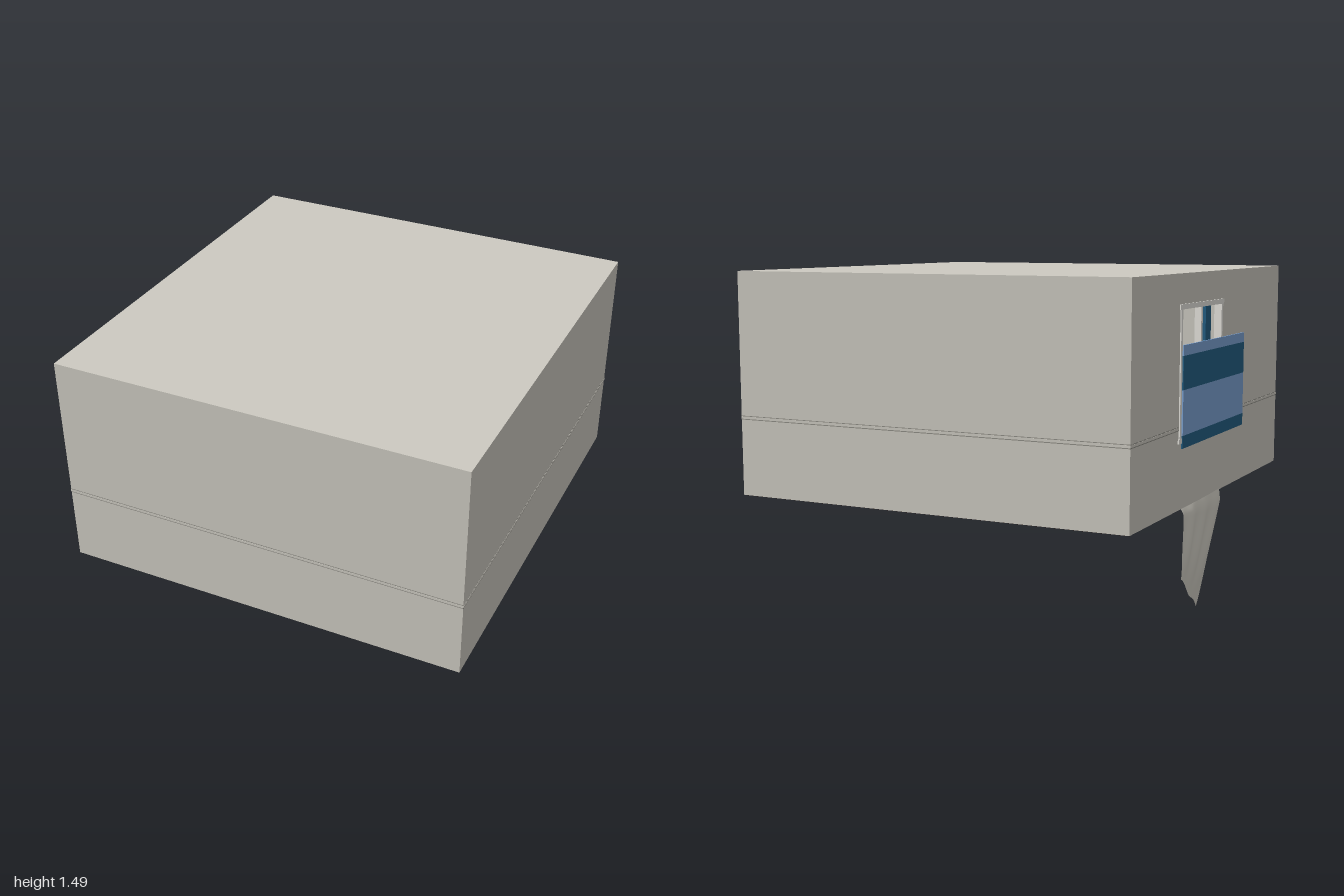
import * as THREE from 'three';

const paint = (name, hex, side = THREE.FrontSide) => {
  const m = new THREE.MeshStandardMaterial({ color: hex, side });
  m.name = name;
  return m;
};

export function createModel() {
  const room = new THREE.Group();
  room.name = 'room';
  const wall = paint('plaster', 0xcdcac1);
  const groove = paint('groove grey', 0x8f8d86);
  const white = paint('frame white', 0xe8e6e0);
  const floorDark = paint('dark floor', 0x33231c);
  const rugRed = paint('rug red', 0x4e2226);
  const rugBrown = paint('rug border', 0x45342a);
  const lightBlue = paint('light blue', 0x7da4d5);
  const darkBlue = paint('dark blue', 0x235f83);
  const wood = paint('wood', 0x6b4630);
  const linen = paint('linen', 0xd3d0c6, THREE.DoubleSide);

  // Box given by its low and high corners
  const box = (name, mat, [x0, y0, z0], [x1, y1, z1], parent = room) => {
    const mesh = new THREE.Mesh(new THREE.BoxGeometry(x1 - x0, y1 - y0, z1 - z0), mat);
    mesh.position.set((x0 + x1) / 2, (y0 + y1) / 2, (z0 + z1) / 2);
    mesh.name = name;
    parent.add(mesh);
    return mesh;
  };
  const group = (name) => {
    const g = new THREE.Group();
    g.name = name;
    room.add(g);
    return g;
  };

  const X0 = -0.875, X1 = 1, Y0 = 0.48, Y1 = 1.485, Z = 0.98, T = 0.01;

  // Shell: floor, ceiling and three plain walls
  box('floor', floorDark, [X0 + 0.002, Y0, -Z + 0.002], [X1 - 0.002, Y0 + T, Z - 0.002]);
  box('ceiling', wall, [X0, Y1 - T, -Z], [X1, Y1, Z]);
  box('frontWall', wall, [X0, Y0 + 0.001, Z - T], [X1, Y1 - T, Z]);
  box('backWall', wall, [X0, Y0 + 0.001, -Z], [X1, Y1 - T, -Z + T]);
  box('leftWall', wall, [X1 - T, Y0 + 0.001, -Z + T], [X1, Y1 - T, Z - T]);

  // Window wall with its opening, drawn in z and y
  const wz0 = -0.43, wz1 = 0.08, wy0 = 0.79, wy1 = 1.335;
  const face = new THREE.Shape();
  face.moveTo(-Z + T, Y0 + 0.001).lineTo(Z - T, Y0 + 0.001).lineTo(Z - T, Y1 - T).lineTo(-Z + T, Y1 - T).closePath();
  const hole = new THREE.Path();
  hole.moveTo(wz0, wy0).lineTo(wz0, wy1).lineTo(wz1, wy1).lineTo(wz1, wy0).closePath();
  face.holes.push(hole);
  const windowWall = new THREE.Mesh(
    new THREE.ExtrudeGeometry(face, { depth: T, bevelEnabled: false }).rotateY(-Math.PI / 2), wall);
  windowWall.position.x = X0 + T;
  windowWall.name = 'windowWall';
  room.add(windowWall);

  // Narrow rail around the walls, with a thin dark line above and below
  const rail = group('wallRail');
  for (const [y, h, mat, out] of [[0.824, 0.004, groove, 0.001], [0.828, 0.011, wall, 0.002], [0.839, 0.003, groove, 0.001]]) {
    for (const s of [-1, 1]) {
      box('railAcross', mat, [X0, y, s * Z - out], [X1, y + h, s * Z + out], rail);
    }
    box('railLeft', mat, [X1 - out, y, -Z], [X1 + out, y + h, Z], rail);
    box('railRight', mat, [X0 - out, y, -Z], [X0 + out, y + h, wz0], rail);
    box('railRight', mat, [X0 - out, y, wz1], [X0 + out, y + h, Z], rail);
  }

  // Window frame and bars
  const frame = group('windowFrame');
  const fx0 = X0 - 0.006, fx1 = X0 + 0.03;
  box('frameTop', white, [fx0, wy1, wz0 - 0.025], [fx1, wy1 + 0.022, wz1 + 0.025], frame);
  box('frameSill', white, [fx0, wy0 - 0.022, wz0 - 0.025], [fx1, wy0, wz1 + 0.025], frame);
  for (const z of [wz0 - 0.015, wz1 - 0.005]) {
    box('frameSide', white, [fx0 + 0.001, wy0, z], [fx1, wy1, z + 0.02], frame);
  }
  box('frameBar', white, [X0, wy0, -0.185], [fx1, wy1, -0.165], frame);

  // Striped panel across the lower window
  const panel = group('stripedPanel');
  const stripes = [[0.745, 0.80, darkBlue], [0.80, 0.995, lightBlue], [0.995, 1.14, darkBlue], [1.14, 1.185, lightBlue]];
  for (const [y0, y1, mat] of stripes) {
    box('stripe', mat, [X0 - 0.009, y0, -0.42], [X0 - 0.002, y1, 0.40], panel);
  }

  // Rug, showing in two pieces through the floor
  const rugPiece = (name, mat, points, y) => {
    const shape = new THREE.Shape(points.map(([x, z]) => new THREE.Vector2(x, z)));
    const mesh = new THREE.Mesh(new THREE.ShapeGeometry(shape).rotateX(Math.PI / 2), mat);
    mesh.position.y = y;
    mesh.name = name;
    room.add(mesh);
  };
  rugPiece('rugBorder', rugBrown, [[0.56, -0.70], [0.12, -0.70], [0.30, -0.38], [0.56, -0.30]], Y0 - 0.001);
  rugPiece('rugCentre', rugRed, [[0.48, -0.62], [0.12, -0.62], [0.28, -0.40], [0.48, -0.34]], Y0 - 0.002);
  rugPiece('rugBorder', rugBrown, [[-0.48, 0.08], [0.14, 0.08], [-0.12, -0.20], [-0.48, -0.40]], Y0 - 0.001);
  rugPiece('rugCentre', rugRed, [[-0.40, 0.0], [0.06, 0.0], [-0.12, -0.17], [-0.40, -0.33]], Y0 - 0.002);
  box('rugInside', rugRed, [-0.48, Y0 + T, -0.70], [0.56, Y0 + T + 0.005, 0.08]);

  // Bed, wardrobe and curtain inside
  const bed = group('bed');
  box('bedBase', wood, [0.1, 0.52, 0.3], [0.95, 0.62, 0.9], bed);
  box('mattress', linen, [0.12, 0.62, 0.32], [0.93, 0.7, 0.88], bed);
  box('blanket', darkBlue, [0.1, 0.64, 0.3], [0.65, 0.715, 0.9], bed);
  box('headboard', wood, [0.95, 0.5, 0.3], [0.98, 0.95, 0.9], bed);
  box('wardrobe', wood, [0.65, 0.5, -0.6], [0.98, 1.25, -0.05]);
  box('curtain', darkBlue, [X0 + 0.04, 0.8, -0.01], [X0 + 0.055, 1.34, 0.06]);

  // Hanging cloth: corners blended across a grid, with soft folds
  const cloth = new THREE.PlaneGeometry(1, 1, 28, 20);
  const corner = (x, y, z) => new THREE.Vector3(x, y, z);
  const [a, b, c, d] = [corner(-0.885, 0.485, -0.40), corner(-0.89, 0.485, 0.10), corner(-0.93, 0.21, -0.54), corner(-0.875, 0.0, -0.19)];
  const p = cloth.attributes.position;
  for (let i = 0; i < p.count; i++) {
    const u = p.getX(i) + 0.5, v = 0.5 - p.getY(i);
    const top = a.clone().lerp(b, u), low = c.clone().lerp(d, u);
    const q = top.lerp(low, v);
    q.x += 0.007 * Math.sin(u * 19 + v * 2) * Math.sin(Math.PI * Math.min(1, v * 1.1)) - 0.008 * Math.sin(Math.PI * v);
    q.x += 0.015 * Math.max(0, 1 - v * 12);
    q.y += 0.008 * Math.sin(u * Math.PI * 3) * v * v;
    p.setXYZ(i, q.x, Math.max(0, q.y), q.z);
  }
  cloth.computeVertexNormals();
  const hanging = new THREE.Mesh(cloth, linen);
  hanging.name = 'hangingCloth';
  room.add(hanging);

  return room;
}
